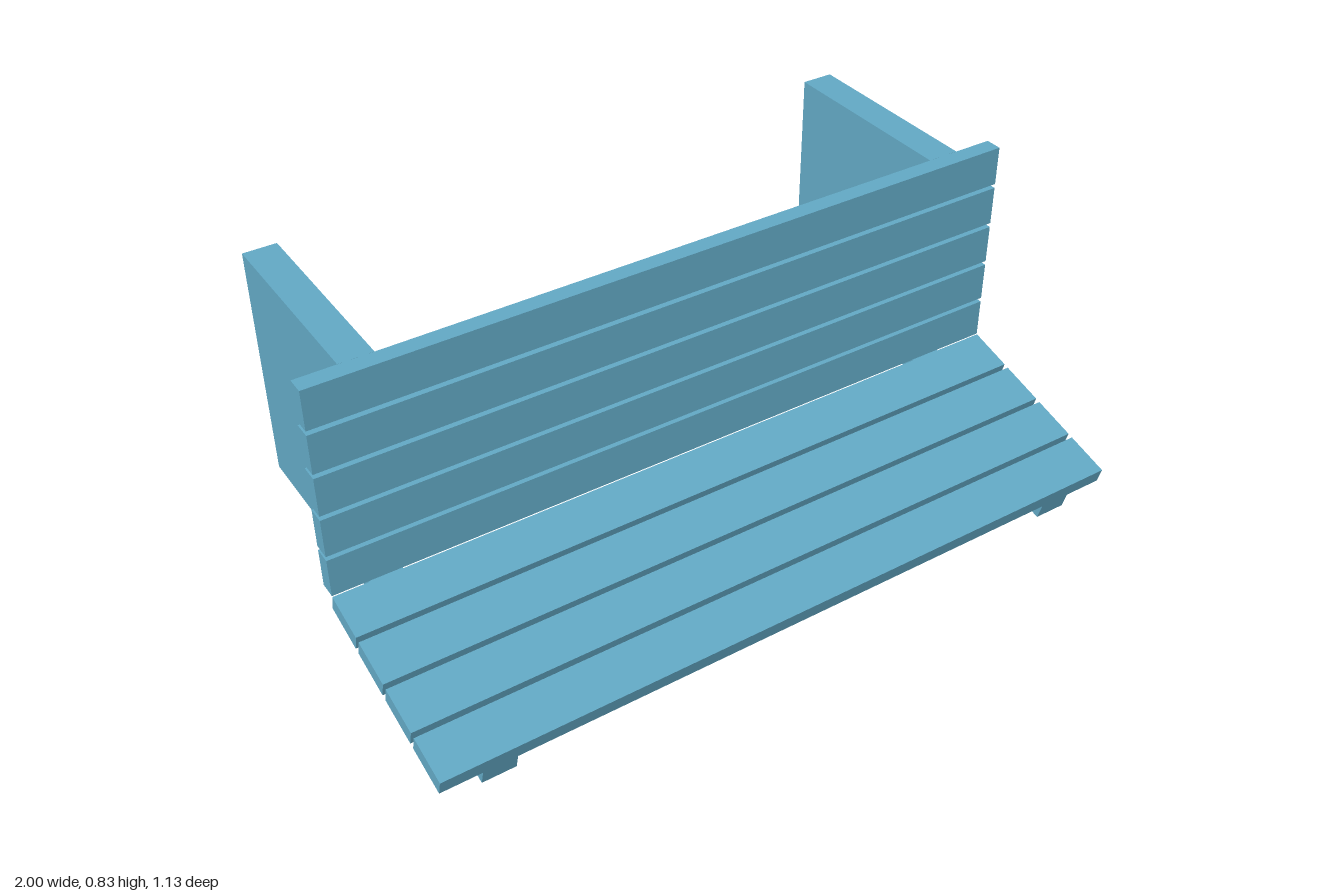
import * as THREE from 'three';

const bluePaint = new THREE.MeshStandardMaterial({ color: 0x62a8c4 });
bluePaint.name = 'bluePaint';

// Box given by its lower and upper limits on each axis
function board(name, [x0, x1], [y0, y1], [z0, z1]) {
  const mesh = new THREE.Mesh(new THREE.BoxGeometry(x1 - x0, y1 - y0, z1 - z0), bluePaint);
  mesh.position.set((x0 + x1) / 2, (y0 + y1) / 2, (z0 + z1) / 2);
  mesh.name = name;
  return mesh;
}

export function createModel() {
  const model = new THREE.Group();
  model.name = 'slattedBench';
  const full = [-1, 1];
  const supports = { left: [0.8, 0.89], right: [-0.89, -0.8] };

  // Upright slats
  const back = new THREE.Group();
  back.name = 'backrest';
  for (let i = 0; i < 5; i++) {
    const y = 0.234 + i * 0.1222;
    back.add(board(`backSlat${i + 1}`, full, [y, y + 0.11], [-0.013, 0.034]));
  }

  // Sloping seat, pivoted at the front top edge of its rails
  const seat = new THREE.Group();
  seat.name = 'seat';
  seat.position.set(0, 0.0455, 0.555);
  seat.rotation.x = THREE.MathUtils.degToRad(15);
  for (let i = 0; i < 4; i++) {
    const z = -i * 0.141;
    seat.add(board(`seatSlat${i + 1}`, full, [0, 0.046], [z - 0.127, z]));
  }

  // Side panels behind the backrest and rails under the seat
  for (const [side, x] of Object.entries(supports)) {
    model.add(board(`${side}SidePanel`, x, [0.175, 0.833], [-0.566, -0.013]));
    seat.add(board(`${side}SeatRail`, x, [-0.047, 0], [-0.617, 0]));
  }

  model.add(back, seat);
  return model;
}
